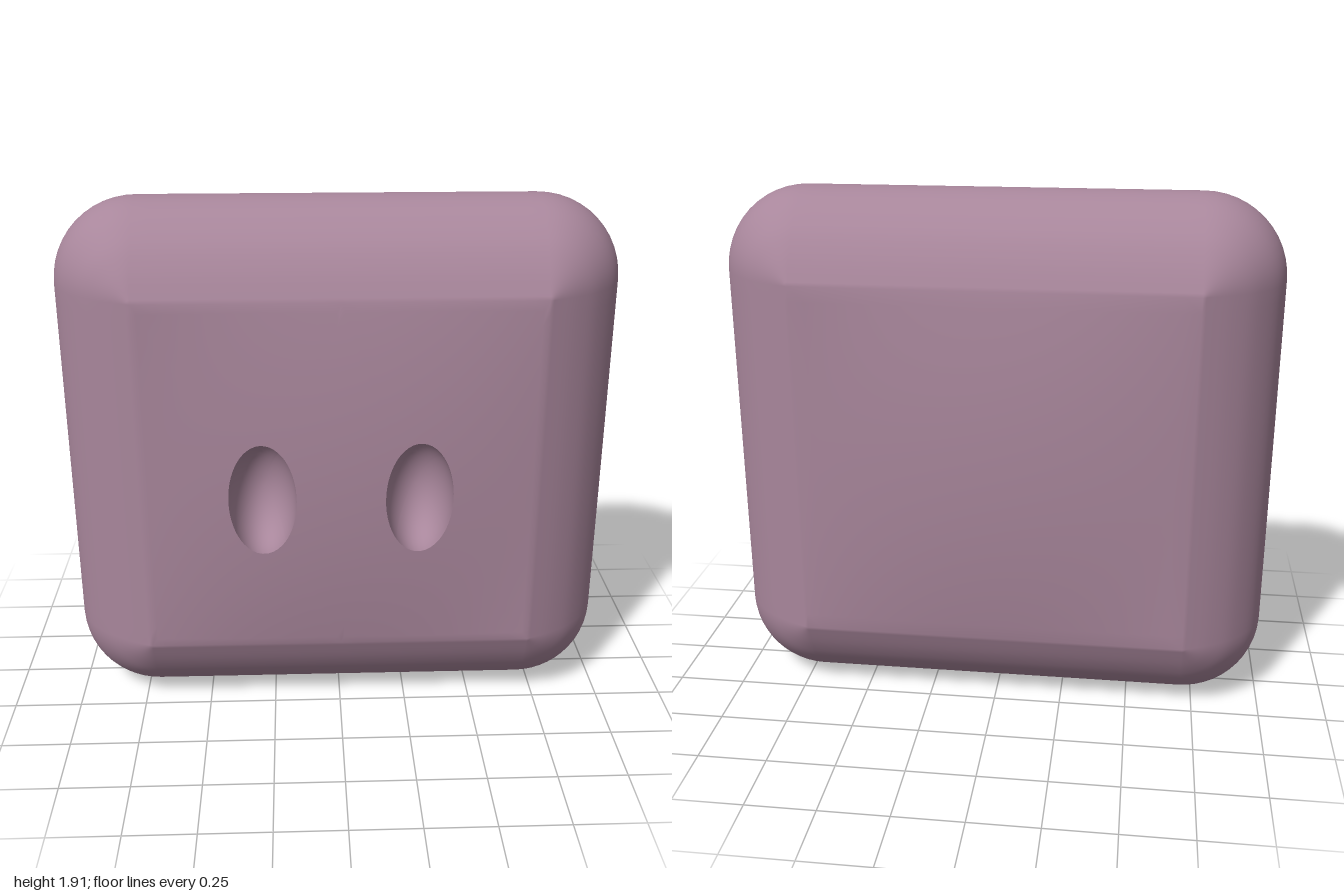
import * as THREE from 'three';
import { mergeGeometries, mergeVertices } from 'three/addons/utils/BufferGeometryUtils.js';

const HX = 0.7, HY = 0.655;           // flat area inside the rounded border
const BORDER = 0.3, EDGE_Z = 0.32, BULGE = 0.045;
const EYE = { x: 0.277, y: -0.05, rx: 0.12, ry: 0.21, depth: 0.18 };
const NX = 24, NY = 24, ARC = 12;

// Half thickness of the pillowed faces
const faceZ = (x, y) => EDGE_Z + BULGE * (1 - (x / HX) ** 2) * (1 - (y / HY) ** 2);

// Grid surface from point(i, j); its outside faces (row step) x (column step)
function patch(rows, cols, point) {
  const pos = [], index = [];
  for (let i = 0; i <= rows; i++)
    for (let j = 0; j <= cols; j++) pos.push(...point(i, j));
  for (let i = 0; i < rows; i++)
    for (let j = 0; j < cols; j++) {
      const a = i * (cols + 1) + j, b = a + cols + 1;
      index.push(a, b, b + 1, a, b + 1, a + 1);
    }
  const g = new THREE.BufferGeometry();
  g.setAttribute('position', new THREE.Float32BufferAttribute(pos, 3));
  g.setIndex(index);
  return g;
}

function smooth(parts) {
  const g = mergeVertices(mergeGeometries(parts), 1e-4);
  g.computeVertexNormals();
  return g;
}

// Counter-clockwise points along a rectangle, starting at its lower right corner
function rectLoop(x0, x1, y0, y1, nx, ny) {
  const corners = [[x1, y0], [x1, y1], [x0, y1], [x0, y0]], loop = [];
  corners.forEach((c, k) => {
    const e = corners[(k + 1) % 4], n = k % 2 ? nx : ny;
    for (let i = 0; i < n; i++)
      loop.push([c[0] + (e[0] - c[0]) * i / n, c[1] + (e[1] - c[1]) * i / n]);
  });
  loop.push(loop[0]);
  return loop;
}

// Rounded border swept around the whole block, front to back
function border() {
  const half = [[0.3, EDGE_Z], [0.2, 0.275], [0.11, 0.213], [0.03, 0.115]];
  const section = new THREE.SplineCurve([
    ...half, [0, 0], ...half.slice().reverse().map(([d, z]) => [d, -z]),
  ].map(p => new THREE.Vector2(...p))).getPoints(40);
  const path = [];                    // inner point and outward angle
  const corners = [[HX, -HY], [HX, HY], [-HX, HY], [-HX, -HY]];
  corners.forEach((c, k) => {
    const e = corners[(k + 1) % 4], n = k % 2 ? NX : NY, out = k * Math.PI / 2;
    for (let i = 0; i <= n; i++)
      path.push([c[0] + (e[0] - c[0]) * i / n, c[1] + (e[1] - c[1]) * i / n, out]);
    for (let i = 1; i < ARC; i++) path.push([e[0], e[1], out + i / ARC * Math.PI / 2]);
  });
  path.push(path[0]);
  return patch(section.length - 1, path.length - 1, (i, j) => {
    const [x, y, a] = path[j], r = BORDER - section[i].x;
    return [x + r * Math.cos(a), y + r * Math.sin(a), section[i].y];
  });
}

// Half of the front around one eye hole, and the bowl that fills the hole
function frontHalf(side) {
  const cx = side * EYE.x;
  const loop = rectLoop(Math.min(0, side * HX), Math.max(0, side * HX), -HY, HY, NX / 2, NY);
  const rim = loop.map(([x, y]) => {
    const a = Math.atan2((y - EYE.y) / EYE.ry, (x - cx) / EYE.rx);
    return [EYE.rx * Math.cos(a), EYE.ry * Math.sin(a)];
  });
  const n = loop.length - 1;
  const face = patch(16, n, (i, j) => {
    const t = i / 16;
    const x = (cx + rim[j][0]) * (1 - t) + loop[j][0] * t;
    const y = (EYE.y + rim[j][1]) * (1 - t) + loop[j][1] * t;
    return [x, y, faceZ(x, y)];
  });
  const bowl = patch(16, n, (i, j) => {
    const a = i / 16 * Math.PI / 2, r = Math.sin(a);
    const x = cx + rim[j][0] * r, y = EYE.y + rim[j][1] * r;
    return [x, y, faceZ(x, y) - EYE.depth * Math.cos(a)];
  });
  return { face, bowl };
}

export function createModel() {
  const group = new THREE.Group();
  const material = new THREE.MeshStandardMaterial({ color: 0xa8869b });
  const add = (name, geometry) => {
    const mesh = new THREE.Mesh(geometry, material);
    mesh.name = name;
    mesh.position.y = HY + BORDER;
    group.add(mesh);
  };

  const left = frontHalf(1), right = frontHalf(-1);
  const back = patch(NY, NX, (i, j) => {
    const x = HX * (2 * j / NX - 1), y = HY * (2 * i / NY - 1);
    return [x, y, -faceZ(x, y)];
  });
  add('body', smooth([border(), left.face, right.face, back]));
  add('leftEyeSocket', smooth([left.bowl]));
  add('rightEyeSocket', smooth([right.bowl]));
  return group;
}
